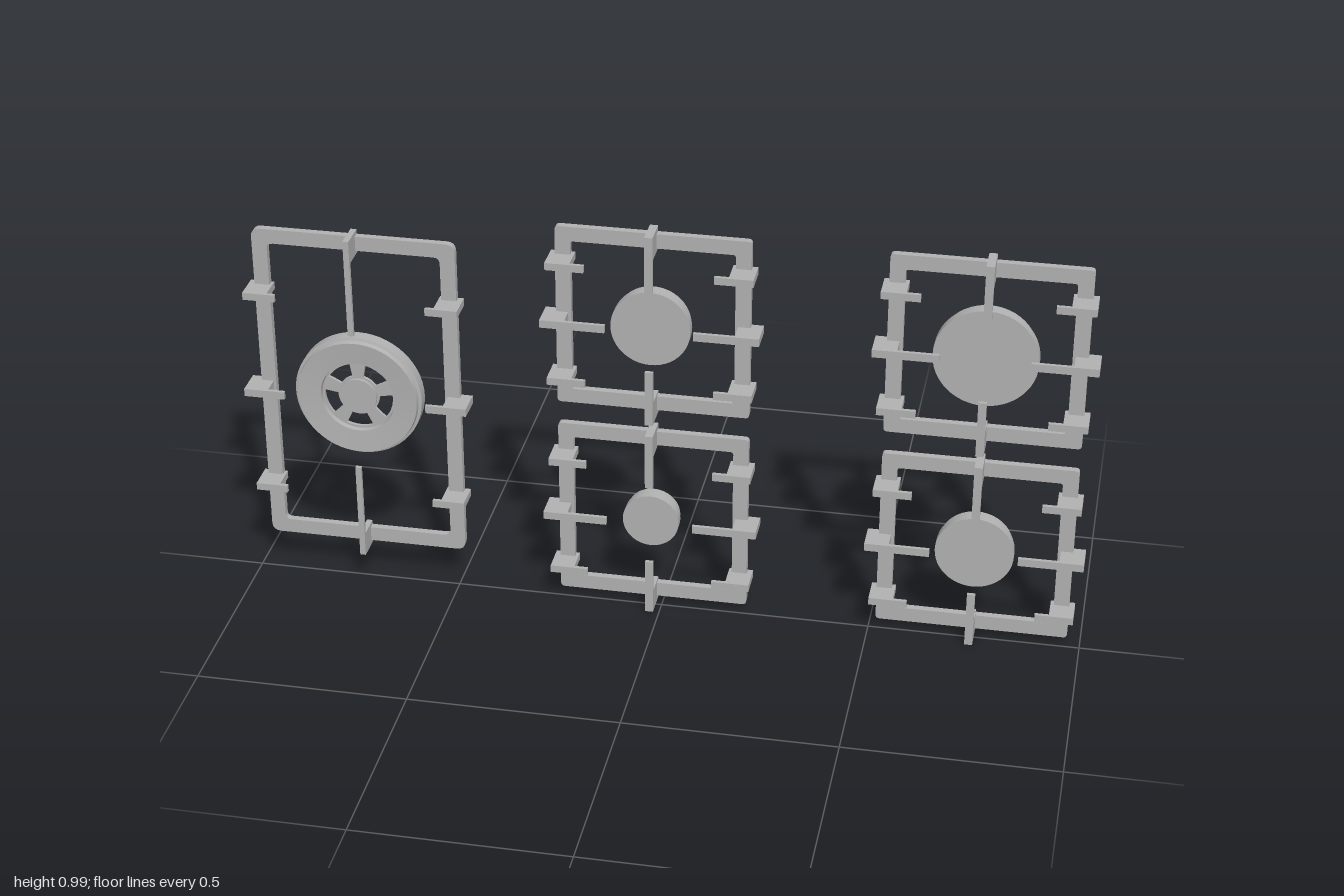
import * as THREE from 'three';

const metal = new THREE.MeshStandardMaterial({ color: 0xb2b2b2 });
metal.name = 'grey metal';
const sheet = new THREE.MeshStandardMaterial({ color: 0xb2b2b2, side: THREE.DoubleSide });
sheet.name = 'grey sheet metal';

const BACK = -0.035, FRONT = 0.035;

function add(parent, name, geometry, material = metal) {
  const mesh = new THREE.Mesh(geometry, material);
  mesh.name = name;
  parent.add(mesh);
  return mesh;
}

// Rounded rectangle outline with half sizes w and h
function roundRect(w, h, r, Type = THREE.Shape) {
  const s = new Type();
  s.moveTo(-w + r, -h);
  s.lineTo(w - r, -h);
  s.quadraticCurveTo(w, -h, w, -h + r);
  s.lineTo(w, h - r);
  s.quadraticCurveTo(w, h, w - r, h);
  s.lineTo(-w + r, h);
  s.quadraticCurveTo(-w, h, -w, h - r);
  s.lineTo(-w, -h + r);
  s.quadraticCurveTo(-w, -h, -w + r, -h);
  return s;
}

function ring(w, h, bar, depth, z, r) {
  const s = roundRect(w, h, r);
  s.holes.push(roundRect(w - bar, h - bar, r * 0.7, THREE.Path));
  const g = new THREE.ExtrudeGeometry(s, { depth, bevelEnabled: false, curveSegments: 4 });
  return g.translate(0, 0, z);
}

// Frame with a shallow channel along its back
function frame(parent, w, h, r) {
  const bar = 0.036, lip = 0.011;
  add(parent, 'frameFace', ring(w, h, bar, 0.008, -0.025, r));
  add(parent, 'frameOuterLip', ring(w, h, lip, 0.009, -0.034, r));
  add(parent, 'frameInnerLip', ring(w - bar + lip, h - bar + lip, lip, 0.009, -0.034, r * 0.8));
}

// L-shaped finger: a leg across the frame and a thin arm pointing inwards
function finger(parent, name, angle, outer, tip, width, offset = 0) {
  const leg = outer - 0.057;
  const s = new THREE.Shape();
  s.moveTo(outer, BACK);
  s.lineTo(outer, FRONT);
  s.lineTo(tip, FRONT);
  s.lineTo(tip, FRONT - 0.009);
  s.lineTo(leg, FRONT - 0.009);
  s.lineTo(leg, BACK);
  const g = new THREE.ExtrudeGeometry(s, { depth: width, bevelEnabled: false });
  g.translate(0, 0, -width / 2).rotateX(Math.PI / 2).rotateZ(angle);
  add(parent, name, g).position.y = offset;
}

function grate(parent, name, x, y, o) {
  const g = new THREE.Group();
  g.name = name;
  g.position.set(x, y, 0);
  parent.add(g);
  frame(g, o.w, o.h, o.r);
  for (const a of [0, Math.PI]) {
    finger(g, 'sideFinger', a, ...o.side, 0.019);
    for (const k of [-1, 1]) finger(g, 'cornerFinger', a, ...o.corner, 0.018, k * o.spread);
    finger(g, 'uprightFinger', a + Math.PI / 2, ...o.upright, o.uprightWidth);
  }
  return g;
}

// Solid burner: a flat cap on a slightly narrower base
function burner(parent, r) {
  const parts = [['burnerBase', r * 0.95, -0.03, -0.012], ['burnerCap', r, -0.012, 0.013]];
  for (const [name, radius, z0, z1] of parts) {
    const g = new THREE.CylinderGeometry(radius, radius, z1 - z0, 48);
    g.rotateX(Math.PI / 2);
    add(parent, name, g).position.z = (z0 + z1) / 2;
  }
}

// Large burner: hollow ring with a spoked plate in the middle
function wideBurner(parent) {
  const profile = [[0.088, -0.008], [0.09, 0.008], [0.145, 0.012], [0.147, 0], [0.154, -0.002], [0.154, -0.031], [0.146, -0.031]];
  for (let i = 0; i < profile.length - 1; i++) {
    const pts = [profile[i], profile[i + 1]].map(([r, z]) => new THREE.Vector2(r, z));
    add(parent, 'burnerRing', new THREE.LatheGeometry(pts, 56).rotateX(Math.PI / 2), sheet);
  }
  const plate = new THREE.Shape().absarc(0, 0, 0.09, 0, Math.PI * 2);
  for (let i = 0; i < 5; i++) {
    const mid = -Math.PI / 2 + (i * Math.PI * 2) / 5;
    const hole = new THREE.Path();
    hole.absarc(0, 0, 0.083, mid - 0.4, mid + 0.4, false);
    hole.absarc(0, 0, 0.05, mid + 0.36, mid - 0.36, true);
    hole.closePath();
    plate.holes.push(hole);
  }
  const g = new THREE.ExtrudeGeometry(plate, { depth: 0.008, bevelEnabled: false, curveSegments: 24 });
  add(parent, 'spokedPlate', g.translate(0, 0, -0.012));
  const hub = new THREE.CylinderGeometry(0.045, 0.045, 0.016, 32).rotateX(Math.PI / 2);
  add(parent, 'burnerHub', hub).position.z = -0.004;
}

export function createModel() {
  const model = new THREE.Group();
  model.name = 'hobGrates';

  const small = {
    w: 0.227, h: 0.227, r: 0.01, spread: 0.148,
    side: [0.255, 0.103], corner: [0.24, 0.15],
    upright: [0.241, 0.102], uprightWidth: 0.019,
  };
  const tall = {
    w: 0.243, h: 0.41, r: 0.022, spread: 0.257,
    side: [0.27, 0.172], corner: [0.257, 0.18],
    upright: [0.421, 0.177], uprightWidth: 0.014,
  };

  // Tall grate on the right-hand side with the wide burner
  wideBurner(grate(model, 'tallGrate', -0.73, 0.5, tall));

  // Four square grates in two columns
  const squares = [
    ['upperMiddleGrate', -0.024, 0.754, 0.093],
    ['lowerMiddleGrate', -0.024, 0.242, 0.067],
    ['upperLeftGrate', 0.742, 0.754, 0.12],
    ['lowerLeftGrate', 0.742, 0.242, 0.092],
  ];
  for (const [name, x, y, r] of squares) burner(grate(model, name, x, y, small), r);
  return model;
}
